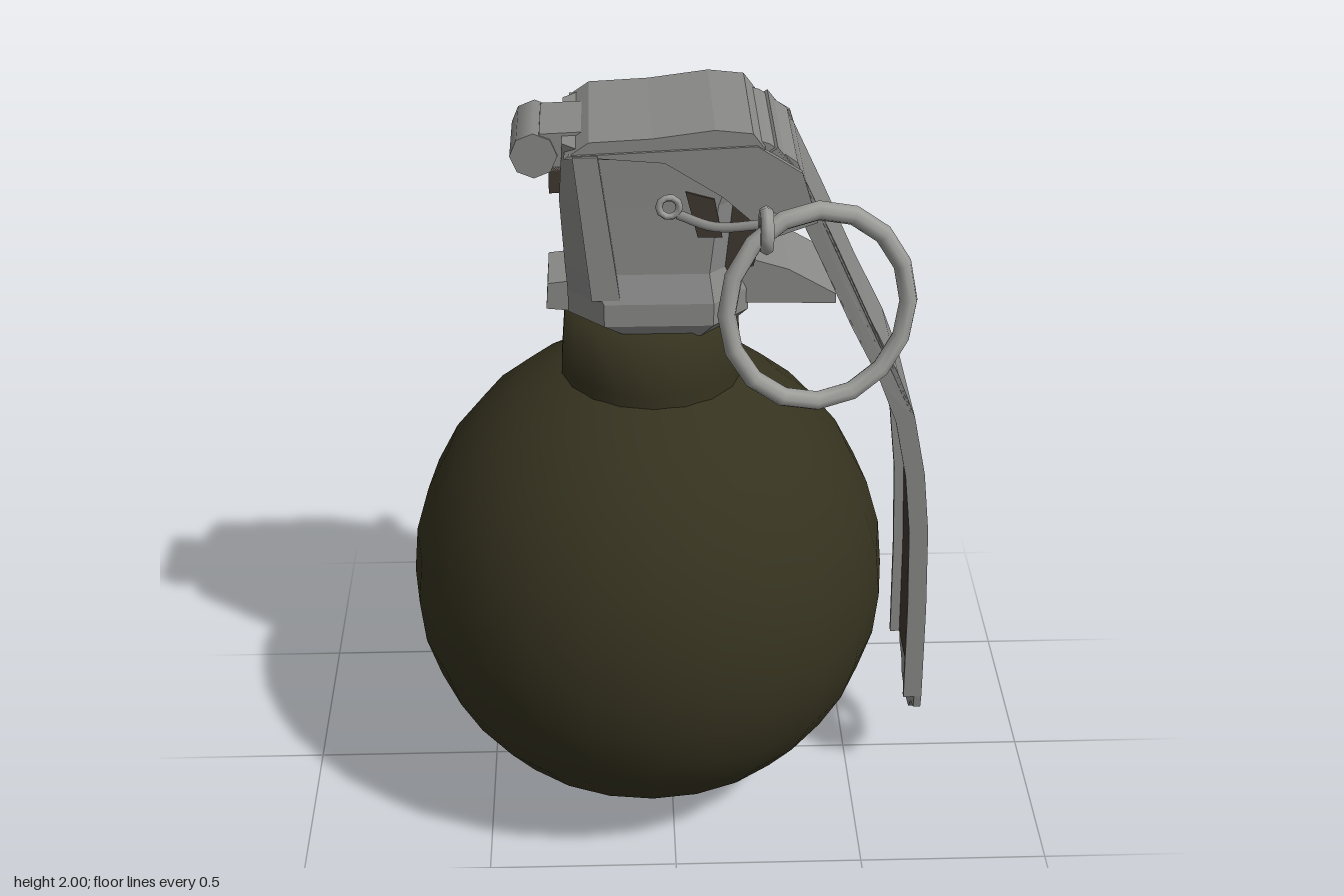
import * as THREE from 'three';

const mat = (name, color) => {
  const m = new THREE.MeshStandardMaterial({ color, side: THREE.DoubleSide });
  m.name = name;
  return m;
};

export function createModel() {
  const root = new THREE.Group();
  root.name = 'model';
  const olive = mat('olive paint', 0x35321f);
  const steel = mat('grey steel', 0x898988);
  const bright = mat('light steel', 0x9e9e9b);
  const dark = mat('dark brown interior', 0x40372f);

  const add = (name, geo, material, x = 0, y = 0, z = 0) => {
    const m = new THREE.Mesh(geo, material);
    m.name = name;
    m.position.set(x, y, z);
    root.add(m);
    return m;
  };
  const shapeOf = pts => new THREE.Shape(pts.map(p => new THREE.Vector2(...p)));
  // Side profile in x-y, extruded from z0 to z1
  const slab = (pts, z0, z1) =>
    new THREE.ExtrudeGeometry(shapeOf(pts), { depth: z1 - z0, bevelEnabled: false }).translate(0, 0, z0);
  const tube = (pts, r, n = 12) =>
    new THREE.TubeGeometry(new THREE.CatmullRomCurve3(pts.map(p => new THREE.Vector3(...p))), n, r, 6);
  const lathe = (pts, n) => new THREE.LatheGeometry(pts.map(p => new THREE.Vector2(...p)), n);

  // Round body, slightly fuller toward the neck
  const profile = [];
  for (let i = 0; i <= 16; i++) {
    const a = (i / 16 - 0.5) * Math.PI;
    profile.push([0.637 * Math.cos(a), 0.642 + Math.sin(a) * (a > 0 ? 0.672 : 0.637)]);
  }
  add('body', lathe(profile, 24), olive, -0.06, 0, 0);
  add('neck', lathe([[0.237, 1.18], [0.235, 1.3], [0.223, 1.46], [0, 1.46]], 18), olive, -0.05, 0, 0);

  // Head: chamfered rectangular sections [y, xMin, xMax, halfDepth, chamfer]
  const sections = [
    [1.45, -0.2, 0.16, 0.19, 0.09], [1.49, -0.26, 0.19, 0.215, 0.09], [1.55, -0.26, 0.19, 0.215, 0.09],
    [1.62, -0.265, 0.15, 0.19, 0.06], [1.8, -0.275, 0.16, 0.188, 0.05], [1.95, -0.265, 0.2, 0.188, 0.04],
  ];
  const verts = [], faces = [];
  sections.forEach(([y, a, b, d, c]) => {
    [[b, d - c], [b - c, d], [a + c, d], [a, d - c], [a, c - d], [a + c, -d], [b - c, -d], [b, c - d]]
      .forEach(([x, z]) => verts.push(x, y, z));
  });
  for (let s = 0; s < sections.length - 1; s++) {
    for (let i = 0; i < 8; i++) {
      const p = s * 8 + i, q = s * 8 + (i + 1) % 8;
      faces.push(p, p + 8, q, q, p + 8, q + 8);
    }
  }
  for (let i = 1; i < 7; i++) faces.push(0, i, i + 1, 40, 40 + i + 1, 40 + i);
  const headCage = new THREE.BufferGeometry();
  headCage.setAttribute('position', new THREE.Float32BufferAttribute(verts, 3));
  headCage.setIndex(faces);
  const head = headCage.toNonIndexed();
  head.computeVertexNormals();
  add('head', head, steel);

  // Top cap, hinge roll and rear fittings
  add('topCap', slab([[-0.26, 1.93], [-0.2, 1.972], [-0.05, 1.98], [0.1, 2], [0.19, 1.99], [0.22, 1.95],
    [0.2, 1.92]], -0.198, 0.198), steel);
  add('hingeFold', slab([[0.18, 1.97], [0.23, 1.955], [0.3, 1.905], [0.32, 1.85], [0.26, 1.84], [0.18, 1.92]],
    -0.175, 0.175), steel);
  add('rearKnob', new THREE.CylinderGeometry(0.058, 0.058, 0.22, 8).rotateX(Math.PI / 2), steel, -0.335, 1.9, -0.005);
  add('knobBracket', slab([[-0.34, 1.86], [-0.26, 1.86], [-0.2, 1.96], [-0.32, 1.955]], -0.1, 0.1), steel);
  add('knobRecess', slab([[-0.3, 1.8], [-0.25, 1.8], [-0.25, 1.87], [-0.3, 1.87]], -0.1, 0.1), dark);
  add('rearLedge', slab([[-0.315, 1.48], [-0.22, 1.47], [-0.22, 1.56], [-0.31, 1.55]], -0.09, 0.09), steel);
  add('lowerLug', slab([[0.1, 1.66], [0.29, 1.6], [0.41, 1.53], [0.41, 1.505], [0.15, 1.51]], -0.13, 0.13), steel);
  add('springHousing', slab([[0.12, 1.9], [0.22, 1.88], [0.24, 1.78], [0.2, 1.62], [0.12, 1.6]], -0.15, 0.15), dark);

  // Paired side details
  for (const s of [1, -1]) {
    const z = s * 0.197;
    add('capSide', slab([[-0.25, 1.94], [0.2, 1.96], [0.31, 1.89], [0.35, 1.76], [0.24, 1.72], [0.12, 1.83],
      [-0.02, 1.92]], z - 0.008, z + 0.008), steel);
    add('sideRib', slab([[-0.24, 1.94], [-0.18, 1.94], [-0.13, 1.56], [-0.2, 1.56]], z - 0.015, z + 0.015), steel);
    add('sideRecess', slab([[0.03, 1.84], [0.1, 1.82], [0.12, 1.72], [0.06, 1.72]], s * 0.19 - 0.004,
      s * 0.19 + 0.004), dark);
    add('pinWire', tube([[0.01, 1.79, s * 0.21], [0.1, 1.76, s * 0.22], [0.24, 1.77, s * 0.225]], 0.012), steel);
    add('wireEye', new THREE.TorusGeometry(0.025, 0.009, 6, 10), bright, -0.01, 1.81, s * 0.212);
  }

  // Lever: offset strip along a bent centre line
  const path = [[0.25, 1.95], [0.32, 1.86], [0.4, 1.69], [0.49, 1.49], [0.57, 1.33], [0.62, 1.2], [0.655, 1.03],
    [0.675, 0.85], [0.685, 0.6], [0.69, 0.3]];
  const offset = d => path.map((p, i) => {
    const a = path[Math.max(i - 1, 0)], b = path[Math.min(i + 1, path.length - 1)];
    const l = Math.hypot(b[0] - a[0], b[1] - a[1]);
    return [p[0] + (b[1] - a[1]) / l * d, p[1] - (b[0] - a[0]) / l * d];
  });
  // Strip narrows below the bend
  const strip = (d0, d1, z0, z1) => {
    const g = slab([...offset(d0), ...offset(d1).reverse()], z0, z1);
    const p = g.attributes.position;
    for (let i = 0; i < p.count; i++) {
      const t = THREE.MathUtils.clamp((p.getY(i) - 0.3) / 1.1, 0, 1);
      p.setZ(i, p.getZ(i) * (0.88 + 0.12 * t));
    }
    g.computeVertexNormals();
    return g;
  };
  add('leverPlate', strip(0, 0.018, -0.187, 0.187), steel);
  add('leverUnderside', strip(0.0185, 0.024, -0.17, 0.17), dark);
  for (const s of [1, -1]) {
    add('leverFlange', strip(0.005, 0.05, s > 0 ? 0.171 : -0.188, s > 0 ? 0.188 : -0.171), steel);
  }

  // Lever tip with its hole
  const tip = shapeOf([[-0.165, 0.31], [-0.158, 0.26], [-0.11, 0.245], [-0.075, 0.2], [0, 0.188], [0.075, 0.2],
    [0.11, 0.245], [0.158, 0.26], [0.165, 0.31]]);
  tip.holes.push(new THREE.Path().absarc(0, 0.258, 0.044, 0, Math.PI * 2, true));
  add('leverTip', new THREE.ExtrudeGeometry(tip, { depth: 0.02, bevelEnabled: false, curveSegments: 10 })
    .rotateY(Math.PI / 2), steel, 0.67, 0, 0);

  // Cross pin, its end loops and the pull ring
  add('crossPin', new THREE.CylinderGeometry(0.024, 0.024, 0.52, 8).rotateX(Math.PI / 2), steel, 0.23, 1.77, 0);
  add('rearPinLoop', new THREE.TorusGeometry(0.036, 0.018, 6, 10).rotateY(Math.PI / 2), bright, 0.23, 1.78, -0.265);
  add('frontPinLoop', new THREE.TorusGeometry(0.042, 0.018, 6, 12).rotateY(Math.PI / 2), bright, 0.22, 1.775, 0.275);
  const ring = add('pullRing', new THREE.TorusGeometry(0.228, 0.023, 8, 16), bright, 0.35, 1.572, 0.283);
  ring.scale.y = 1.07;
  ring.quaternion.setFromUnitVectors(new THREE.Vector3(0, 0, 1), new THREE.Vector3(0.17, 0.14, 1).normalize());

  return root;
}
